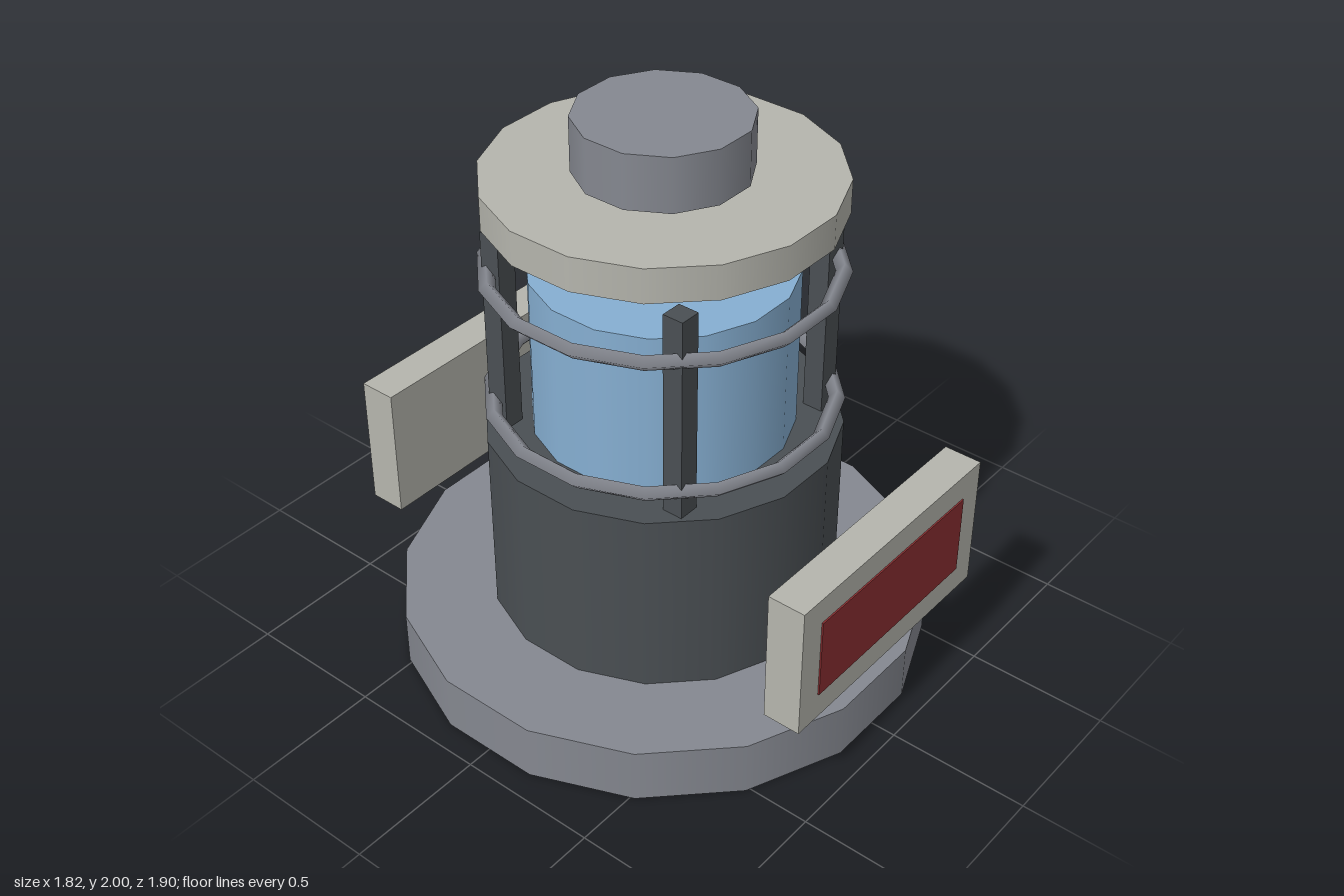
import * as THREE from 'three';

const material = (name, color) => {
  const m = new THREE.MeshStandardMaterial({ color });
  m.name = name;
  return m;
};

export function createModel() {
  const steel = material('steel grey', 0x858890);
  const dark = material('dark iron', 0x4a4f53);
  const stone = material('pale grey', 0xb5b5ad);
  const glass = material('blue glass', 0x86afd2);
  const red = material('dark red', 0x8b2f31);

  const model = new THREE.Group();
  model.name = 'beaconTower';

  const add = (name, geometry, mat, x = 0, y = 0, z = 0) => {
    const mesh = new THREE.Mesh(geometry, mat);
    mesh.name = name;
    mesh.position.set(x, y, z);
    model.add(mesh);
    return mesh;
  };

  // Upright drum with flats facing the four axes
  const drum = (name, radius, bottom, top, sides, mat) => {
    const g = new THREE.CylinderGeometry(radius, radius, top - bottom, sides);
    g.rotateY(Math.PI / sides);
    add(name, g, mat, 0, (bottom + top) / 2, 0);
  };

  drum('base', 0.927, 0, 0.2, 16, steel);
  drum('body', 0.604, 0.2, 0.88, 16, dark);
  drum('lantern', 0.445, 0.87, 1.465, 16, glass);
  drum('roof', 0.586, 1.68, 1.8, 16, stone);
  drum('roofCap', 0.291, 1.81, 2, 12, steel);

  // Guard rings with a diamond cross-section
  for (const y of [0.977, 1.467]) {
    const ring = new THREE.TorusGeometry(0.576, 0.028, 4, 16);
    ring.rotateZ(Math.PI / 16);
    ring.rotateX(-Math.PI / 2);
    add('guardRing', ring, steel, 0, y, 0);
  }

  // Four square posts around the lantern
  for (const x of [-0.372, 0.372]) {
    for (const z of [-0.372, 0.372]) {
      add('post', new THREE.BoxGeometry(0.075, 0.74, 0.075), dark, x, 1.24, z);
    }
  }

  // Sign panels floating before and behind the body
  for (const side of [-1, 1]) {
    add('signPanel', new THREE.BoxGeometry(0.975, 0.49, 0.135), stone, 0, 0.59, side * 0.878);
    add('signFace', new THREE.BoxGeometry(0.785, 0.295, 0.008), red, 0, 0.592, side * 0.947);
  }

  return model;
}
